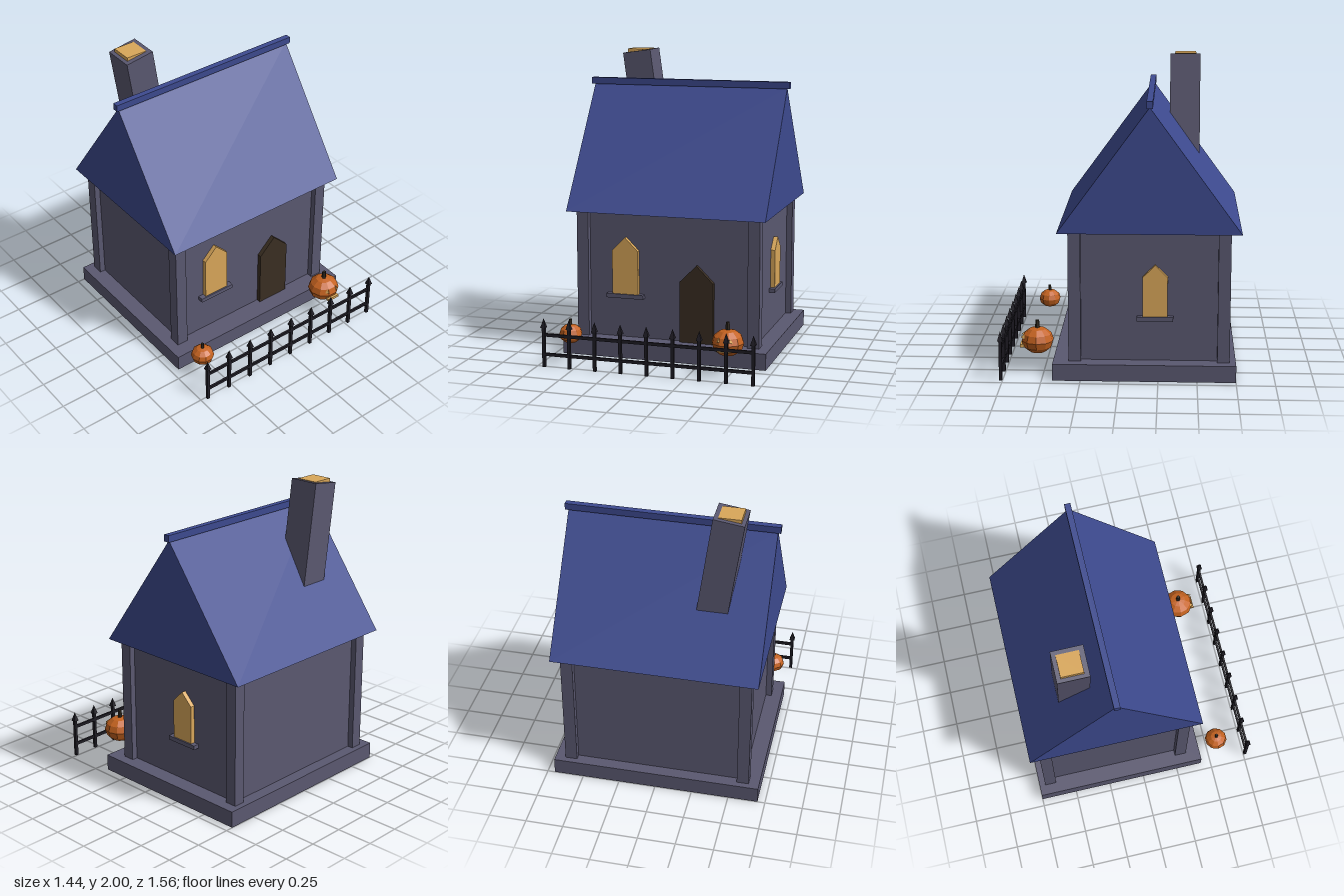
import * as THREE from 'three';

const mat = (name, color) => {
  const m = new THREE.MeshStandardMaterial({ color });
  m.name = name;
  m.flatShading = true;
  return m;
};

export function createModel() {
  const stone = mat('grey stone', 0x5a5870);
  const roofBlue = mat('roof blue', 0x3d4a8f);
  const glow = mat('warm glow', 0xd9a75a);
  const wood = mat('dark wood', 0x3a2e22);
  const iron = mat('black iron', 0x1e1c24);
  const orange = mat('pumpkin orange', 0xc4621f);
  const stemBrown = mat('stem brown', 0x2e261c);

  const model = new THREE.Group();
  model.name = 'cottage';

  const add = (name, geometry, material, x, y, z, parent = model) => {
    const mesh = new THREE.Mesh(geometry, material);
    mesh.name = name;
    mesh.position.set(x, y, z);
    parent.add(mesh);
    return mesh;
  };
  // Box given by its minimum and maximum on each axis
  const box = (name, material, x0, x1, y0, y1, z0, z1, parent) =>
    add(name, new THREE.BoxGeometry(x1 - x0, y1 - y0, z1 - z0), material,
      (x0 + x1) / 2, (y0 + y1) / 2, (z0 + z1) / 2, parent);
  // Outline extruded along z, centred on z = 0
  const extrude = (points, depth) => {
    const shape = new THREE.Shape(points.map(([x, y]) => new THREE.Vector2(x, y)));
    return new THREE.ExtrudeGeometry(shape, { depth, bevelEnabled: false }).translate(0, 0, -depth / 2);
  };
  // Panel with a pointed top, standing on y = 0
  const pointedPanel = (w, shoulder, peak) =>
    extrude([[-w / 2, 0], [w / 2, 0], [w / 2, shoulder], [0, peak], [-w / 2, shoulder]], 0.04);

  // House body
  const midZ = -0.19;
  box('foundation', stone, -0.7, 0.7, 0, 0.11, -0.75, 0.43);
  box('walls', stone, -0.59, 0.59, 0.11, 0.966, midZ - 0.48, midZ + 0.48);
  for (const sx of [-1, 1]) for (const sz of [-1, 1]) {
    add('cornerPost', new THREE.BoxGeometry(0.08, 0.856, 0.08), stone, sx * 0.59, 0.538, midZ + sz * 0.48);
  }

  // Roof and ridge
  const roof = add('roof', extrude([[-0.588, 0.965], [0.588, 0.965], [0, 1.77]], 1.36), roofBlue, 0, 0, midZ);
  roof.rotation.y = Math.PI / 2;
  box('ridgeBeam', roofBlue, -0.7, 0.7, 1.765, 1.81, midZ - 0.02, midZ + 0.02);

  // Leaning chimney with a glowing top
  const chimney = add('chimney', new THREE.BoxGeometry(0.2, 0.8, 0.205), stone, -0.365, 1.59, -0.413);
  chimney.rotation.z = 0.14;
  box('chimneyGlow', glow, -0.495, -0.35, 1.94, 2, -0.488, -0.343);

  // Door
  add('door', pointedPanel(0.23, 0.521, 0.636), wood, 0.2, -0.001, 0.3);

  // Front window, and a smaller one on the left wall
  add('frontWindow', pointedPanel(0.18, 0.3, 0.39), glow, -0.295, 0.405, 0.3);
  box('frontSill', stone, -0.423, -0.167, 0.382, 0.41, 0.27, 0.33);
  const sideWindow = add('sideWindow', pointedPanel(0.16, 0.265, 0.345), glow, 0.6, 0.405, -0.228);
  sideWindow.rotation.y = Math.PI / 2;
  box('sideSill', stone, 0.57, 0.63, 0.382, 0.41, -0.345, -0.111);

  // Iron fence
  const fence = new THREE.Group();
  fence.name = 'fence';
  model.add(fence);
  const fenceZ = 0.762;
  for (let i = 0; i < 9; i++) {
    const x = -0.7 + i * 0.175;
    box('picket', iron, x - 0.01, x + 0.01, 0, 0.275, fenceZ - 0.01, fenceZ + 0.01, fence);
    const tip = new THREE.ConeGeometry(0.025, 0.062, 4).rotateY(Math.PI / 4);
    add('picketTip', tip, iron, x, 0.294, fenceZ, fence);
  }
  for (const y of [0.085, 0.215]) {
    box('rail', iron, -0.7, 0.7, y - 0.01, y + 0.01, fenceZ - 0.007, fenceZ + 0.007, fence);
  }

  // Pumpkins
  const pumpkin = (name, x, z, r) => {
    const g = new THREE.Group();
    g.name = name;
    g.position.set(x, 0.115 + r * 0.82, z);
    model.add(g);
    add('pumpkinBody', new THREE.SphereGeometry(r, 10, 6).scale(1, 0.82, 1), orange, 0, 0, 0, g);
    add('stem', new THREE.CylinderGeometry(r * 0.12, r * 0.16, r * 0.6, 5), stemBrown, 0, r * 0.96, 0, g);
    return g;
  };
  pumpkin('smallPumpkin', -0.593, 0.56, 0.078);
  const big = pumpkin('carvedPumpkin', 0.477, 0.543, 0.107);

  // Carved face on the big pumpkin
  for (const s of [-1, 1]) {
    const eye = new THREE.ConeGeometry(0.02, 0.025, 3).rotateX(Math.PI / 2).rotateZ(Math.PI);
    add('eye', eye, glow, s * 0.038, 0.027, 0.095, big);
  }
  box('mouth', glow, -0.045, 0.045, -0.04, -0.022, 0.085, 0.112, big);

  return model;
}
